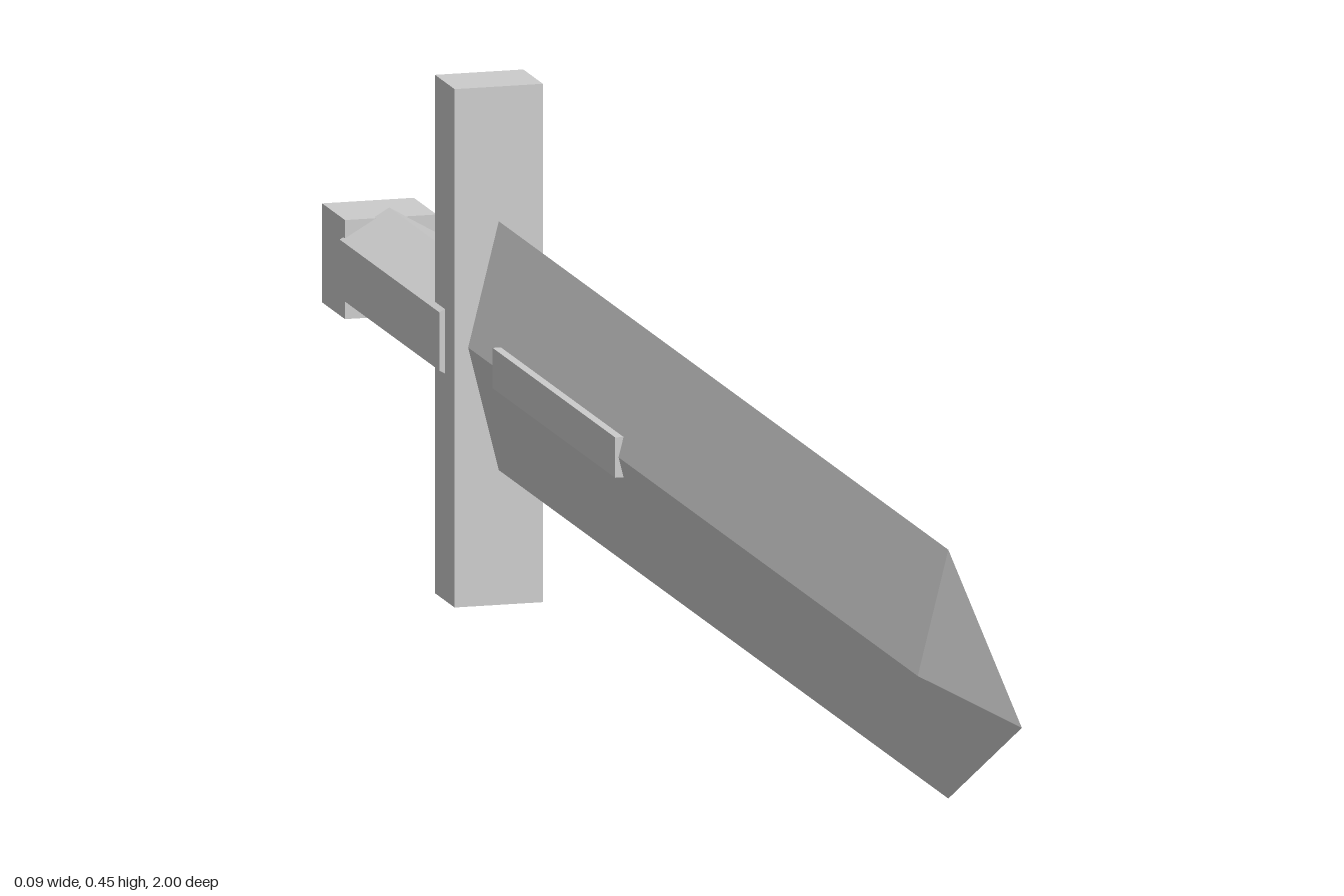
import * as THREE from 'three';

const MID_Y = 0.225; // height of the sword's long axis

export function createModel() {
  const group = new THREE.Group();
  const steel = new THREE.MeshStandardMaterial({ color: 0xcccccc, flatShading: true });
  steel.name = 'steel grey';

  const add = (name, geometry, z) => {
    const mesh = new THREE.Mesh(geometry, steel);
    mesh.name = name;
    mesh.position.set(0, MID_Y, z);
    group.add(mesh);
  };

  // Box spanning z0..z1, centred on the long axis
  const box = (name, width, height, z0, z1) =>
    add(name, new THREE.BoxGeometry(width, height, z1 - z0), (z0 + z1) / 2);

  // Prism or point along z with a corner at the top, from half sizes rx and ry
  const prism = (name, sides, rx, ry, z0, z1, frontScale = 1, open = false) => {
    const geometry = new THREE.CylinderGeometry(frontScale, 1, z1 - z0, sides, 1, open);
    geometry.rotateX(Math.PI / 2).scale(rx, ry, 1);
    add(name, geometry, (z0 + z1) / 2);
  };

  // Diamond-section blade and its point
  prism('blade', 4, 0.027, 0.108, -0.6, 0.775, 1, true);
  prism('bladeTip', 4, 0.027, 0.108, 0.775, 1, 0, true);

  // Raised bar showing on both blade faces
  box('bladeInlay', 0.06, 0.035, -0.515, -0.14);

  // Upright crossguard
  box('crossguard', 0.078, 0.45, -0.66, -0.6);

  // Six-sided grip and square pommel
  prism('grip', 6, 0.0505, 0.0505, -0.63, -0.935);
  group.remove(group.children.pop());
  prism('grip', 6, 0.0505, 0.0505, -0.935, -0.63);
  box('pommel', 0.081, 0.086, -1, -0.93);

  return group;
}
